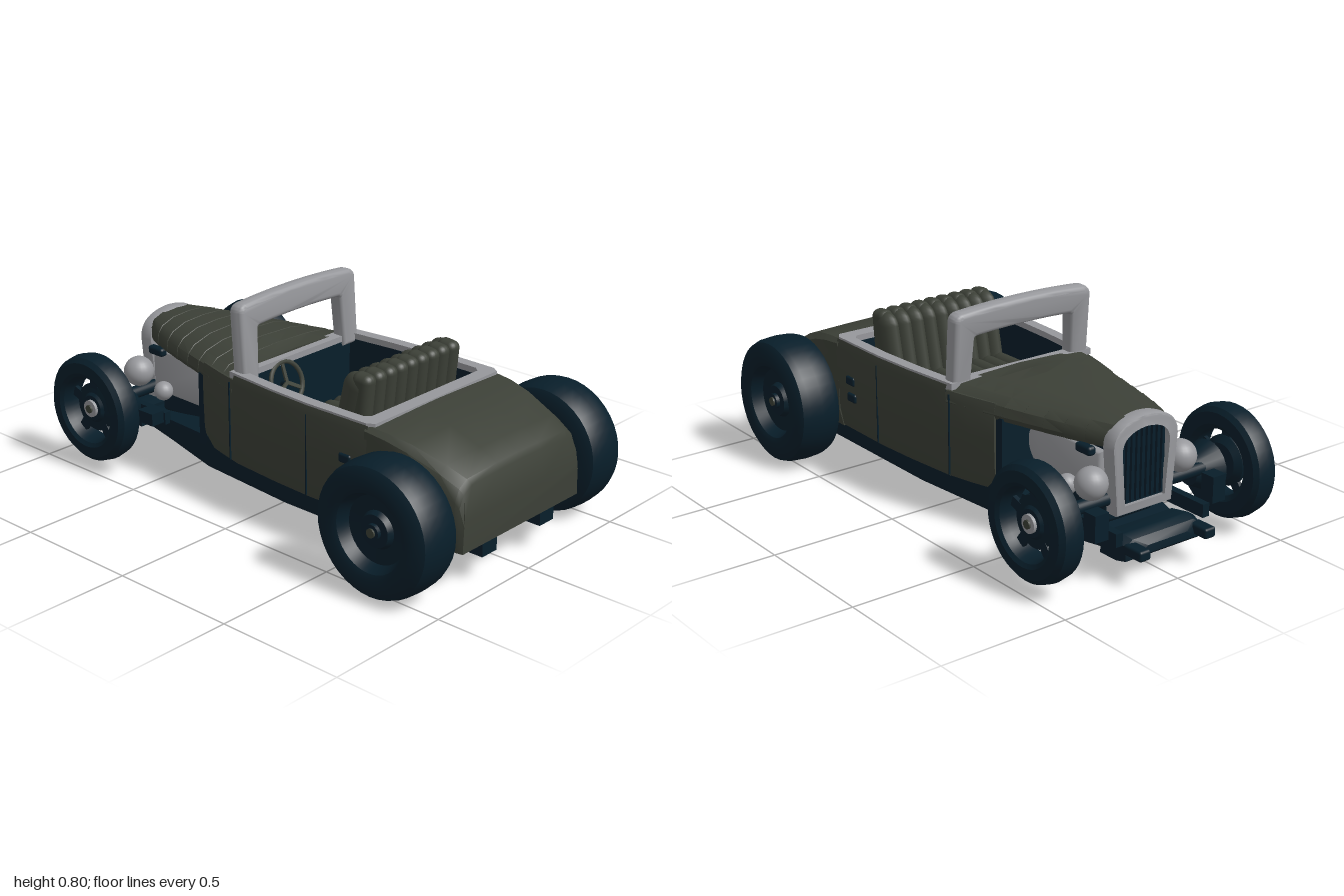
import * as THREE from 'three';
import { toCreasedNormals } from 'three/addons/utils/BufferGeometryUtils.js';
import { RoundedBoxGeometry } from 'three/addons/geometries/RoundedBoxGeometry.js';

const paint = (name, color) => {
  const m = new THREE.MeshStandardMaterial({ color, side: THREE.DoubleSide });
  m.name = name;
  return m;
};

export function createModel() {
  const car = new THREE.Group();
  car.name = 'roadster';
  const olive = paint('olive paint', 0x3c4037);
  const dark = paint('dark blue black', 0x081e2a);
  const grey = paint('grey metal', 0x97989c);

  const add = (name, geo, mat, x = 0, y = 0, z = 0, parent = car) => {
    const m = new THREE.Mesh(geo, mat);
    m.name = name;
    m.position.set(x, y, z);
    parent.add(m);
    return m;
  };
  const box = (name, mat, w, h, d, x, y, z, r = 0) =>
    add(name, r ? new RoundedBoxGeometry(w, h, d, 3, r) : new THREE.BoxGeometry(w, h, d), mat, x, y, z);

  // Skin over cross-sections along x; each is a half outline [z, y] that gets mirrored.
  const loft = (sections, openTop = false) => {
    const rings = sections.map(([x, half]) => [
      ...half.map(([z, y]) => [x, y, z]),
      ...half.slice().reverse().map(([z, y]) => [x, y, -z]),
    ]);
    const n = rings[0].length, idx = [];
    for (let i = 0; i < rings.length - 1; i++) for (let j = 0; j < n; j++) {
      if (openTop && j === n / 2 - 1) continue;
      const k = (j + 1) % n, a = i * n + j, c = i * n + k;
      idx.push(a, a + n, c, c, a + n, c + n);
    }
    const last = (rings.length - 1) * n;
    if (!openTop) for (let k = 1; k < n - 1; k++) idx.push(0, k, k + 1, last, last + k + 1, last + k);
    const g = new THREE.BufferGeometry();
    g.setAttribute('position', new THREE.Float32BufferAttribute(rings.flat(2), 3));
    g.setIndex(idx);
    return toCreasedNormals(g, 0.6);
  };

  // Half width of the body at x
  const stations = [[-0.33, 0.28], [-0.14, 0.335], [0.1, 0.358], [0.28, 0.368], [0.57, 0.365]];
  const halfWidth = (x) => {
    let i = 0;
    while (i < stations.length - 2 && x > stations[i + 1][0]) i++;
    const [[x0, w0], [x1, w1]] = [stations[i], stations[i + 1]];
    return w0 + ((w1 - w0) * (x - x0)) / (x1 - x0);
  };
  const sideOutline = (w, top) => [[w - 0.02, 0.165], [w - 0.004, 0.24], [w, 0.36], [w, top - 0.03], [w - 0.008, top]];

  // Body shell: cowl, open cockpit tub and lining
  add('cowl', loft([-0.33, -0.22, -0.11].map((x) => [x, sideOutline(halfWidth(x), 0.5)])), olive);
  const tubX = [-0.115, 0, 0.1, 0.28, 0.42, 0.56];
  add('cockpitBody', loft(tubX.map((x) => [x, sideOutline(halfWidth(x), 0.521)]), true), olive);
  add('cockpitLining', loft(tubX.map((x) => {
    const w = halfWidth(x) - 0.05;
    return [x, [[w, 0.21], [w, 0.36], [w, 0.51]]];
  }), true), dark);
  box('dashPanel', dark, 0.01, 0.3, 0.56, -0.095, 0.36, 0);
  box('rearBulkhead', dark, 0.01, 0.3, 0.64, 0.535, 0.36, 0);

  // Rear deck: bottom, side, shoulder, top edge, crown
  add('rearDeck', loft([
    [0.55, 0.347, 0.365, 0.47, 0.35, 0.518],
    [0.64, 0.346, 0.363, 0.455, 0.342, 0.511],
    [0.73, 0.345, 0.36, 0.43, 0.328, 0.494],
    [0.86, 0.34, 0.348, 0.38, 0.3, 0.448],
    [0.93, 0.335, 0.34, 0.345, 0.28, 0.413],
    [0.945, 0.333, 0.334, 0.325, 0.27, 0.392],
    [0.962, 0.33, 0.326, 0.26, 0.3, 0.28],
  ].map(([x, wb, w, ys, wt, yt]) => [x, [[wb, 0.16], [w, 0.23], [w, ys], [(w + wt) / 2 + 0.01, (ys + yt) / 2 + 0.01],
    [wt, yt], [0.12, yt + 0.006], [0, yt + 0.008]]])), olive);
  box('rearUnderside', dark, 0.4, 0.008, 0.64, 0.75, 0.157, 0);

  // Stepped hood panels
  const hood = [];
  for (let i = 0; i < 8; i++) for (const e of [0, 1]) {
    const t = (i + e) / 8, s = e * 0.0015;
    const w = 0.135 + 0.202 * Math.pow(t, 0.85) + s, top = 0.545 + 0.012 * Math.sin(t * Math.PI) - 0.01 * t + s;
    hood.push([-0.78 + 0.66 * t + (e ? 0 : 0.002), [[w - 0.01, 0.44], [w, 0.46], [w * 0.97, 0.495], [w * 0.84, 0.522 + s],
      [w * 0.5, top - 0.006], [0, top]]]);
  }
  add('hood', loft(hood), olive);

  // Cockpit rim
  const edge = [[-0.14, 0.325], [0.1, 0.35], [0.28, 0.36], [0.55, 0.357], [0.578, 0.338]];
  const hole = [[-0.088, 0.288], [0.1, 0.306], [0.28, 0.315], [0.5, 0.313], [0.522, 0.295]];
  const loop = (pts) => [...pts, ...pts.slice().reverse().map(([a, b]) => [a, -b])].map(([a, b]) => new THREE.Vector2(a, b));
  const rim = new THREE.Shape(loop(edge));
  rim.holes.push(new THREE.Path(loop(hole)));
  add('cockpitRim', new THREE.ExtrudeGeometry(rim, { depth: 0.024, bevelEnabled: false }), grey, 0, 0.505, 0).rotation.x = -Math.PI / 2;

  // Windshield frame
  const frame = new THREE.Shape();
  frame.moveTo(-0.295, 0);
  frame.lineTo(-0.295, 0.245);
  frame.quadraticCurveTo(-0.295, 0.262, -0.275, 0.264);
  frame.quadraticCurveTo(0, 0.286, 0.275, 0.264);
  frame.quadraticCurveTo(0.295, 0.262, 0.295, 0.245);
  frame.lineTo(0.295, 0);
  frame.lineTo(0.25, 0);
  frame.lineTo(0.24, 0.18);
  frame.quadraticCurveTo(0.236, 0.2, 0.21, 0.202);
  frame.quadraticCurveTo(0, 0.215, -0.21, 0.202);
  frame.quadraticCurveTo(-0.236, 0.2, -0.24, 0.18);
  frame.lineTo(-0.25, 0);
  const frameGeo = new THREE.ExtrudeGeometry(frame, { depth: 0.022, bevelSize: 0.018, bevelThickness: 0.022, bevelSegments: 4 });
  frameGeo.translate(0, 0, -0.011).rotateY(Math.PI / 2);
  add('windshieldFrame', toCreasedNormals(frameGeo, 0.7), grey, -0.105, 0.505, 0).rotation.z = 0.07;

  // Pleated bench seat
  const cushion = new THREE.CapsuleGeometry(0.05, 0.16, 6, 12).rotateZ(Math.PI / 2).scale(1, 1, 0.68);
  const pleat = new THREE.CapsuleGeometry(0.058, 0.2, 6, 12).scale(1, 1, 0.64);
  const backPleat = new RoundedBoxGeometry(0.085, 0.3, 0.062, 3, 0.028);
  for (let i = 0; i < 9; i++) {
    const z = (i - 4) * 0.058;
    add('seatCushion', cushion, olive, 0.21, 0.36, z);
    add('seatBack', pleat, olive, 0.38, 0.488, z).rotation.z = -0.22;
    add('seatRearPleat', backPleat, olive, 0.42, 0.497, z).rotation.z = -0.1;
  }
  box('seatBase', olive, 0.3, 0.14, 0.5, 0.23, 0.28, 0, 0.02);

  // Steering wheel
  const steering = new THREE.Group();
  steering.name = 'steeringWheel';
  steering.position.set(-0.065, 0.44, 0.1);
  steering.rotation.z = 0.35;
  car.add(steering);
  add('wheelRim', new THREE.TorusGeometry(0.08, 0.009, 8, 28).rotateY(Math.PI / 2), olive, 0, 0, 0, steering);
  for (let i = 0; i < 3; i++)
    add('wheelSpoke', new THREE.BoxGeometry(0.008, 0.08, 0.014).translate(0, 0.04, 0), olive, 0, 0, 0, steering).rotation.x = (i * 2 * Math.PI) / 3;
  add('column', new THREE.CylinderGeometry(0.01, 0.01, 0.1, 10).rotateZ(Math.PI / 2), dark, -0.05, 0, 0, steering);

  // Radiator shell and grille
  const arch = (w, h) => {
    const s = new THREE.Shape();
    s.moveTo(-w * 0.85, 0);
    s.lineTo(-w, h * 0.72);
    s.quadraticCurveTo(-w, h * 0.98, 0, h);
    s.quadraticCurveTo(w, h * 0.98, w, h * 0.72);
    s.lineTo(w * 0.85, 0);
    return s;
  };
  const shell = arch(0.14, 0.335);
  shell.holes.push(new THREE.Path(arch(0.108, 0.275).getPoints(8).map((p) => p.add(new THREE.Vector2(0, 0.025)))));
  add('radiatorShell', toCreasedNormals(new THREE.ExtrudeGeometry(shell, { depth: 0.045, bevelSize: 0.008, bevelThickness: 0.008, bevelSegments: 2 })
    .rotateY(Math.PI / 2), 0.7), grey, -0.815, 0.205, 0);
  box('radiatorCore', dark, 0.02, 0.29, 0.22, -0.785, 0.36, 0);
  for (let i = -4; i <= 4; i++) box('grilleBar', dark, 0.012, 0.27, 0.008, -0.8, 0.365, i * 0.023);

  // Engine, with a rounded lower rear corner, and firewall
  const block = new THREE.Shape();
  block.moveTo(-0.74, 0.25);
  block.lineTo(-0.47, 0.245);
  block.quadraticCurveTo(-0.37, 0.27, -0.365, 0.35);
  block.quadraticCurveTo(-0.37, 0.4, -0.42, 0.415);
  block.lineTo(-0.74, 0.41);
  add('engineBlock', toCreasedNormals(new THREE.ExtrudeGeometry(block, { depth: 0.26, bevelSize: 0.01, bevelThickness: 0.02, bevelSegments: 3 }), 0.7),
    grey, 0, 0, -0.13);
  box('engineTop', dark, 0.38, 0.04, 0.24, -0.55, 0.43, 0);
  box('engineSump', dark, 0.4, 0.12, 0.22, -0.55, 0.2, 0, 0.02);
  box('firewall', dark, 0.04, 0.29, 0.54, -0.345, 0.305, 0);

  // Chassis pan and nose pan
  add('chassisPan', loft([[-0.86, 0.14, 0.08, 0.13], [-0.62, 0.19, 0.07, 0.16], [-0.33, 0.27, 0.07, 0.2], [0.1, 0.3, 0.065, 0.185],
    [0.74, 0.3, 0.065, 0.185], [0.84, 0.28, 0.1, 0.17]].map(([x, w, y0, y1]) => [x, [[w - 0.01, y0], [w, y0 + 0.02], [w, y1]]])), dark);
  add('nosePan', loft([[-0.945, 0.12, 0.1, 0.13], [-0.92, 0.17, 0.08, 0.155], [-0.88, 0.18, 0.075, 0.165], [-0.8, 0.18, 0.075, 0.15]]
    .map(([x, w, y0, y1]) => [x, [[w, y0], [w, y1 - 0.02], [w - 0.03, y1]]])), dark);

  // Wheels: closed lathe outlines [radius, offset], bottom to top
  const lathe = (pts) => toCreasedNormals(new THREE.LatheGeometry(pts.map(([r, t]) => new THREE.Vector2(r, t)), 40)
    .rotateX(Math.PI / 2), 0.6);
  const rearTyre = lathe([[0, -0.05], [0.12, -0.05], [0.14, -0.085], [0.165, -0.095], [0.215, -0.092], [0.237, -0.08], [0.246, -0.055],
    [0.25, 0], [0.246, 0.055], [0.237, 0.08], [0.215, 0.094], [0.165, 0.098], [0.145, 0.088], [0.125, 0.045], [0.07, 0.04], [0.06, 0.06], [0, 0.06]]);
  const frontTyre = lathe([[0.125, -0.035], [0.145, -0.052], [0.19, -0.052], [0.208, -0.038], [0.215, 0], [0.208, 0.038], [0.19, 0.054],
    [0.15, 0.057], [0.135, 0.047], [0.125, 0.02], [0.125, -0.035]]);
  const frontDish = lathe([[0, -0.03], [0.07, -0.03], [0.095, -0.01], [0.095, 0.005], [0.06, 0.01], [0.05, 0.02], [0, 0.02]]);
  const disc = (r, h) => new THREE.CylinderGeometry(r, r, h, 24).rotateX(Math.PI / 2);

  for (const s of [1, -1]) {
    const wheel = (name, x, y, z) => {
      const g = new THREE.Group();
      g.name = name;
      g.position.set(x, y, s * z);
      if (s < 0) g.rotation.y = Math.PI;
      car.add(g);
      return g;
    };
    const rear = wheel('rearWheel', 0.745, 0.249, 0.474);
    add('rearTyre', rearTyre, dark, 0, 0, 0, rear);
    add('rearHub', disc(0.03, 0.02), dark, 0, 0, 0.065, rear);
    add('rearHubCap', disc(0.017, 0.02), olive, 0, 0, 0.072, rear);

    const front = wheel('frontWheel', -0.767, 0.25, 0.441);
    add('frontTyre', frontTyre, dark, 0, 0, 0, front);
    add('frontDish', frontDish, dark, 0, 0, 0, front);
    for (let i = 0; i < 5; i++)
      add('rimSpoke', new THREE.BoxGeometry(0.04, 0.06, 0.015).translate(0, 0.105, 0), dark, 0, 0, 0, front).rotation.z = (i * 2 * Math.PI) / 5;
    add('frontHubRing', disc(0.034, 0.03), grey, 0, 0, 0.017, front);
    add('frontHubCap', disc(0.016, 0.02), olive, 0, 0, 0.029, front);

    // Front suspension and lamps
    add('brakeCone', new THREE.CylinderGeometry(0.05, 0.1, 0.1, 20).rotateX(-s * Math.PI / 2), dark, -0.73, 0.23, s * 0.335);
    box('frontSpring', dark, 0.3, 0.05, 0.03, -0.77, 0.17, s * 0.2);
    box('shockMount', dark, 0.06, 0.1, 0.06, -0.88, 0.23, s * 0.27);
    box('steeringArm', dark, 0.08, 0.05, 0.06, -0.63, 0.2, s * 0.28);
    box('bumperEnd', dark, 0.09, 0.04, 0.05, -0.955, 0.125, s * 0.15, 0.01);
    add('headlamp', new THREE.SphereGeometry(0.06, 24, 16), grey, -0.775, 0.33, s * 0.205);
    box('lampBracket', dark, 0.08, 0.035, 0.035, -0.7, 0.425, s * 0.17, 0.012);
    add('breather', new THREE.SphereGeometry(0.038, 20, 14), grey, -0.64, 0.28, s * 0.2);

    // Door seams and hinges
    for (const x of [-0.135, 0.28]) box('doorSeam', dark, 0.004, 0.31, 0.006, x, 0.335, s * (halfWidth(x) - 0.001));
    for (const [x, y] of [[0.463, 0.375], [0.455, 0.308]]) box('hinge', dark, 0.055, 0.036, 0.02, x, y, s * 0.364, 0.009);

    // Tail brackets
    box('tailBracket', dark, 0.16, 0.05, 0.08, 0.87, 0.125, s * 0.165);
  }

  // Axles
  add('frontAxle', disc(0.025, 0.84), dark, -0.767, 0.25, 0);
  add('rearAxle', disc(0.07, 0.8), dark, 0.755, 0.235, 0);
  return car;
}
